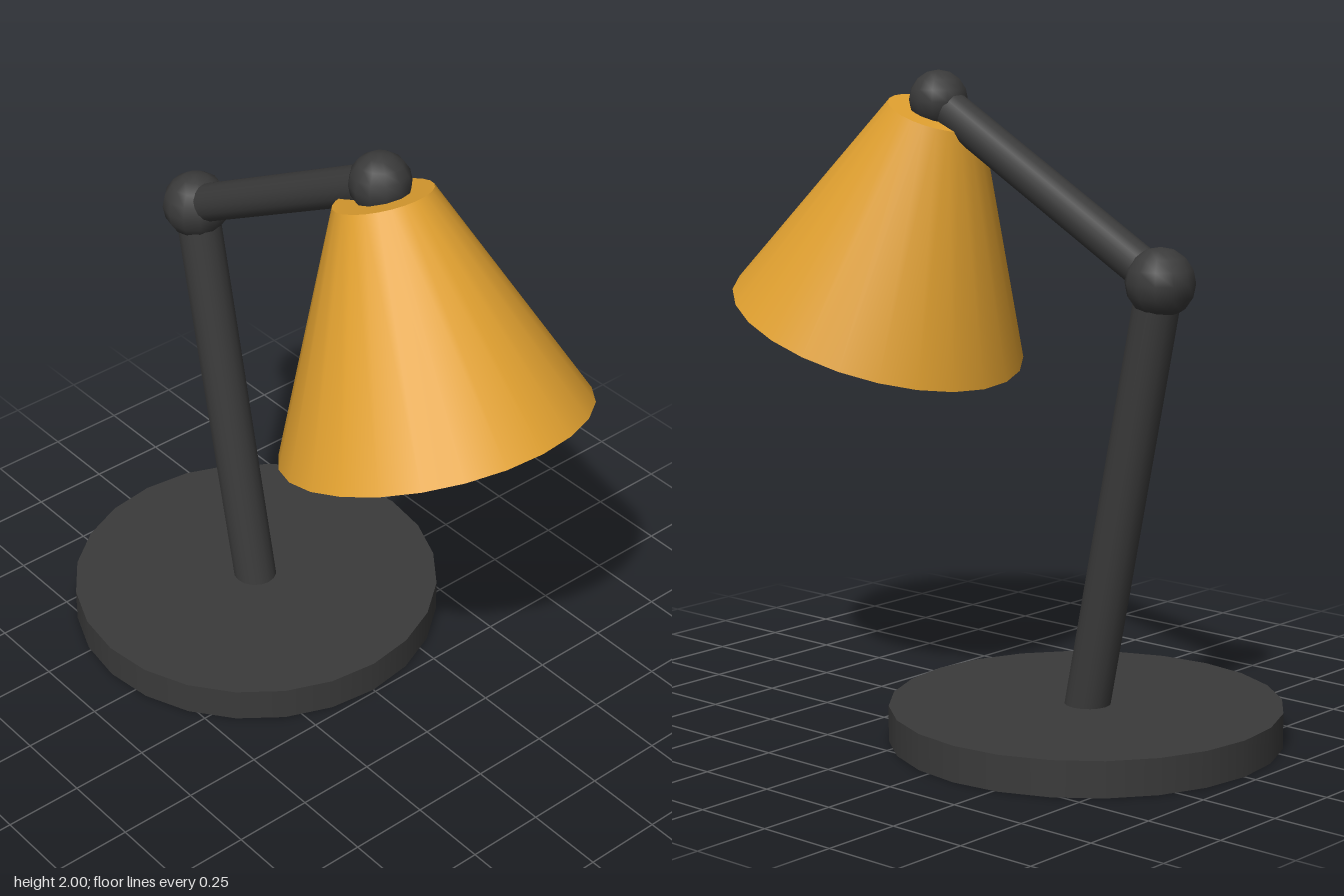
import * as THREE from 'three';
import { mergeGeometries } from 'three/addons/utils/BufferGeometryUtils.js';

const V = (x, y) => new THREE.Vector2(x, y);

export function createModel() {
  const lamp = new THREE.Group();
  lamp.name = 'deskLamp';
  const material = (name, color) => {
    const m = new THREE.MeshStandardMaterial({ color });
    m.name = name;
    return m;
  };
  const darkMetal = material('darkMetal', 0x3a3a3a);
  const amber = material('amberPaint', 0xe0a030);
  const glow = material('bulbCream', 0xfff0b8);

  const add = (parent, name, geometry, mat, x, y) => {
    const mesh = new THREE.Mesh(geometry, mat);
    mesh.name = name;
    mesh.position.set(x, y, 0);
    parent.add(mesh);
    return mesh;
  };
  // Round bar between two points in the z = 0 plane
  const bar = (name, a, b, radius) => {
    const mid = a.clone().add(b).multiplyScalar(0.5);
    const mesh = add(lamp, name, new THREE.CylinderGeometry(radius, radius, a.distanceTo(b), 16), darkMetal, mid.x, mid.y);
    mesh.rotation.z = Math.atan2(b.y - a.y, b.x - a.x) - Math.PI / 2;
  };

  // Base, arms and joints
  const foot = V(-0.36, 0.08), elbow = V(-0.63, 1.42), head = V(0.24, 1.907);
  add(lamp, 'base', new THREE.CylinderGeometry(0.6, 0.6, 0.11, 24), darkMetal, -0.36, 0.055);
  bar('lowerArm', foot, elbow, 0.07);
  bar('upperArm', elbow, head, 0.06);
  add(lamp, 'elbowJoint', new THREE.SphereGeometry(0.105, 12, 8), darkMetal, elbow.x, elbow.y);
  add(lamp, 'headJoint', new THREE.SphereGeometry(0.093, 12, 8), darkMetal, head.x, head.y);

  // Tilted head; its origin is the centre of the shade's open rim
  const lampHead = new THREE.Group();
  lampHead.name = 'lampHead';
  lampHead.position.set(0.5, 1.19, 0);
  lampHead.rotation.z = THREE.MathUtils.degToRad(20);
  lamp.add(lampHead);

  // Thick-walled cone, one lathe per straight profile run to keep edges sharp
  const profile = [V(0.42, 0), V(0.474, 0), V(0.15, 0.72), V(0, 0.72)];
  const lining = [V(0, 0.68), V(0.11, 0.68), V(0.42, 0)];
  const runs = [];
  for (const line of [profile, lining]) {
    for (let i = 1; i < line.length; i++) {
      runs.push(new THREE.LatheGeometry([line[i - 1], line[i]], 24));
    }
  }
  add(lampHead, 'shade', mergeGeometries(runs), amber, 0, 0);

  // Bulb and its socket
  add(lampHead, 'bulb', new THREE.SphereGeometry(0.17, 12, 8), glow, 0, 0.31);
  add(lampHead, 'bulbSocket', new THREE.CylinderGeometry(0.06, 0.06, 0.24, 12), darkMetal, 0, 0.57);

  return lamp;
}
